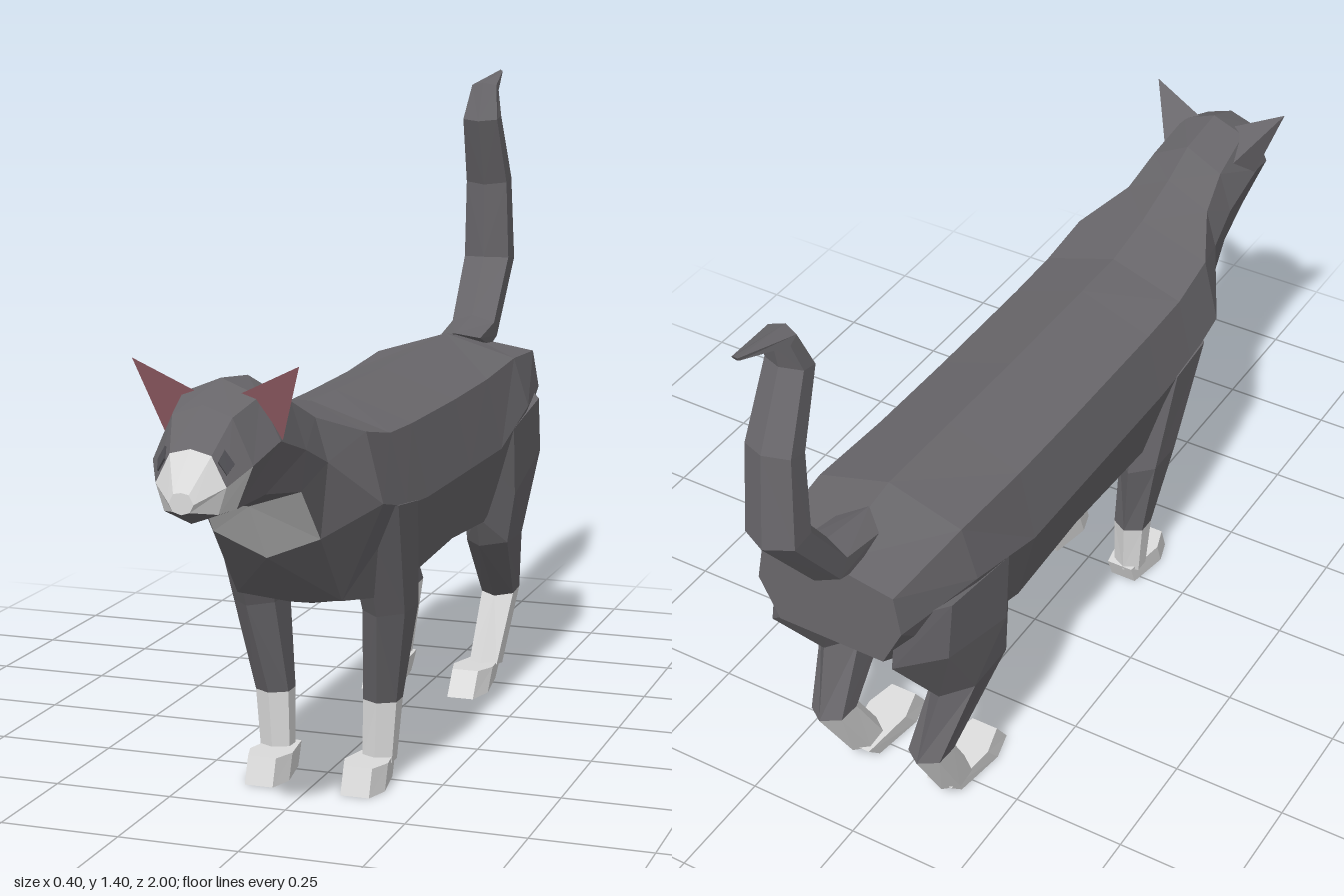
import * as THREE from 'three';

const mat = (name, color) => {
  const m = new THREE.MeshStandardMaterial({ color });
  m.name = name;
  return m;
};

// Skins a list of closed rings with flat faces; pick(segment, band) gives the
// material index (segment -1 is the start cap, rings.length the end cap).
function loft(name, rings, materials, pick = () => 0) {
  const tris = materials.map(() => []);
  const n = rings[0].length;
  const add = (m, a, b, c) => tris[m].push([a, b, c]);
  for (let i = 0; i < rings.length - 1; i++) {
    for (let k = 0; k < n; k++) {
      const l = (k + 1) % n, m = pick(i, k);
      const a = rings[i][k], b = rings[i][l], c = rings[i + 1][l], d = rings[i + 1][k];
      if (k < n / 2) { add(m, a, b, c); add(m, a, c, d); }
      else { add(m, a, b, d); add(m, b, c, d); }
    }
  }
  const first = rings[0], last = rings[rings.length - 1];
  for (let k = 1; k < n - 1; k++) {
    add(pick(-1, k), first[0], first[k + 1], first[k]);
    add(pick(rings.length, k), last[0], last[k], last[k + 1]);
  }
  return solid(name, tris, materials);
}

// Closed mesh from triangles sorted by material, turned to face outwards
function solid(name, tris, materials) {
  let volume = 0;
  for (const [a, b, c] of tris.flat()) volume += a.dot(b.clone().cross(c));
  const geo = new THREE.BufferGeometry();
  const points = [];
  tris.forEach((list, m) => {
    geo.addGroup(points.length, list.length * 3, m);
    for (const [a, b, c] of list) points.push(a, ...(volume < 0 ? [c, b] : [b, c]));
  });
  geo.setFromPoints(points);
  geo.computeVertexNormals();
  const mesh = new THREE.Mesh(geo, materials.length > 1 ? materials : materials[0]);
  mesh.name = name;
  return mesh;
}

const V = (x, y, z) => new THREE.Vector3(x, y, z);

// Six-sided limb ring between a front and a back point, each [z, y]
function limbRing(front, back, x, w, blunt = false) {
  const at = (dx, t) => V(x + dx,
    front[1] + (back[1] - front[1]) * t, front[0] + (back[0] - front[0]) * t);
  return blunt
    ? [at(-0.65 * w, 0), at(0.65 * w, 0), at(w, 0.35), at(0.65 * w, 1), at(-0.65 * w, 1), at(-w, 0.35)]
    : [at(0, 0), at(w, 0.25), at(w, 0.75), at(0, 1), at(-w, 0.75), at(-w, 0.25)];
}

// Eight-sided body ring
const bodyRing = ([z, top, x1, y1, x2, y2, x3, y3, bottom]) => [
  V(0, top, z), V(x1, y1, z), V(x2, y2, z), V(x3, y3, z),
  V(0, bottom, z), V(-x3, y3, z), V(-x2, y2, z), V(-x1, y1, z),
];

export function createModel() {
  const fur = mat('greyFur', 0x69676b);
  const white = mat('whiteFur', 0xdcdcdc);
  const pink = mat('pinkSkin', 0x955f66);
  const eyeGrey = mat('eyeGrey', 0x525156);
  const cat = new THREE.Group();
  cat.name = 'cat';

  // Torso, neck and head: z, top y, then x,y of three side points, bottom y
  const rings = [
    [-0.78, 0.77, 0.15, 0.745, 0.165, 0.66, 0.12, 0.57, 0.57],
    [-0.56, 0.81, 0.165, 0.76, 0.2, 0.65, 0.15, 0.47, 0.45],
    [-0.34, 0.805, 0.165, 0.745, 0.2, 0.59, 0.16, 0.42, 0.395],
    [-0.1, 0.8, 0.165, 0.74, 0.2, 0.59, 0.16, 0.435, 0.385],
    [0.2, 0.8, 0.165, 0.74, 0.2, 0.59, 0.16, 0.42, 0.38],
    [0.34, 0.8, 0.165, 0.745, 0.2, 0.6, 0.15, 0.41, 0.385],
    [0.47, 0.825, 0.16, 0.77, 0.195, 0.63, 0.11, 0.43, 0.42],
    [0.59, 0.865, 0.1, 0.815, 0.125, 0.73, 0.11, 0.58, 0.535],
    [0.68, 0.905, 0.085, 0.86, 0.115, 0.77, 0.105, 0.69, 0.655],
    [0.81, 0.92, 0.075, 0.89, 0.115, 0.81, 0.085, 0.71, 0.685],
    [0.9, 0.885, 0.058, 0.865, 0.097, 0.78, 0.065, 0.7, 0.675],
    [0.955, 0.815, 0.04, 0.805, 0.068, 0.75, 0.052, 0.7, 0.68],
    [1.0, 0.745, 0.015, 0.742, 0.024, 0.725, 0.016, 0.71, 0.705],
  ].map(bodyRing);
  cat.add(loft('body', rings, [fur, white], (i, k) => {
    const chest = i === 7 && (k === 3 || k === 4);
    const cheek = i === 10 && (k === 2 || k === 5);
    const muzzle = i === 11 && k !== 3 && k !== 4;
    return chest || cheek || muzzle || i === rings.length ? 1 : 0;
  }));

  // Tail: front point, back point, half width
  cat.add(loft('tail', [
    [[-0.63, 0.8], [-0.8, 0.74], 0.05],
    [[-0.77, 0.825], [-0.82, 0.755], 0.052],
    [[-0.865, 0.955], [-0.97, 0.945], 0.055],
    [[-0.865, 1.13], [-0.95, 1.15], 0.05],
    [[-0.81, 1.285], [-0.88, 1.3], 0.042],
    [[-0.85, 1.375], [-0.89, 1.35], 0.03],
    [[-1.0, 1.4], [-0.99, 1.385], 0.006],
  ].map(([f, b, w]) => limbRing(f, b, 0, w)), [fur]));

  // Limbs: front point, back point, centre x, half width
  const limbs = {
    front: {
      upper: [
        [[0.46, 0.62], [0.21, 0.59], 0.14, 0.062],
        [[0.35, 0.37], [0.17, 0.37], 0.14, 0.045],
        [[0.285, 0.17], [0.2, 0.17], 0.118, 0.036],
      ],
      shin: [[[0.28, 0.04], [0.212, 0.04], 0.112, 0.032]],
      paw: [[[0.38, 0], [0.23, 0], 0.104, 0.047], [[0.36, 0.056], [0.21, 0.05], 0.104, 0.047]],
    },
    hind: {
      upper: [
        [[-0.335, 0.6], [-0.76, 0.67], 0.138, 0.062],
        [[-0.345, 0.43], [-0.78, 0.56], 0.14, 0.06],
        [[-0.375, 0.355], [-0.62, 0.35], 0.14, 0.048],
        [[-0.57, 0.19], [-0.68, 0.2], 0.12, 0.038],
      ],
      shin: [[[-0.485, 0.045], [-0.58, 0.03], 0.112, 0.033]],
      paw: [[[-0.35, 0], [-0.535, 0], 0.104, 0.047], [[-0.39, 0.056], [-0.575, 0.04], 0.104, 0.047]],
    },
  };

  for (const s of [1, -1]) {
    const side = s > 0 ? 'left' : 'right';
    const make = (list, blunt) => list.map(([f, b, x, w]) => limbRing(f, b, s * x, w, blunt));

    for (const [end, { upper, shin, paw }] of Object.entries(limbs)) {
      const leg = new THREE.Group();
      leg.name = `${side} ${end} leg`;
      leg.add(loft('upperLeg', make(upper), [fur]));
      leg.add(loft('shin', make([upper[upper.length - 1], ...shin]), [white]));
      leg.add(loft('paw', make(paw, true), [white, pink], i => (i === -1 ? 1 : 0)));
      cat.add(leg);
    }

    // Ear: pink inside, furry back
    const tip = V(s * 0.162, 0.953, 0.84), inner = V(s * 0.043, 0.895, 0.825);
    const outer = V(s * 0.115, 0.81, 0.8), rear = V(s * 0.075, 0.84, 0.72);
    cat.add(solid(`${side} ear`, [
      [[tip, rear, inner], [tip, outer, rear], [inner, rear, outer]],
      [[tip, inner, outer]],
    ], [fur, pink]));

    // Eye: thin plate lying on the face between brow and cheek
    const [a, b] = [rings[10], rings[11]];
    const k = s > 0 ? 1 : 7, l = s > 0 ? 2 : 6;
    const onFace = (u, v, lift) => a[k].clone().lerp(a[l], u)
      .lerp(b[k].clone().lerp(b[l], u), v).add(V(s * 0.5, 0.5, 0.7).multiplyScalar(lift));
    const plate = lift => [[0.25, 0.6], [0.7, 0.5], [0.75, 0.85], [0.3, 0.92]]
      .map(([u, v]) => onFace(u, v, lift));
    cat.add(loft(`${side} eye`, [plate(-0.003), plate(0.004)], [eyeGrey]));
  }
  return cat;
}
